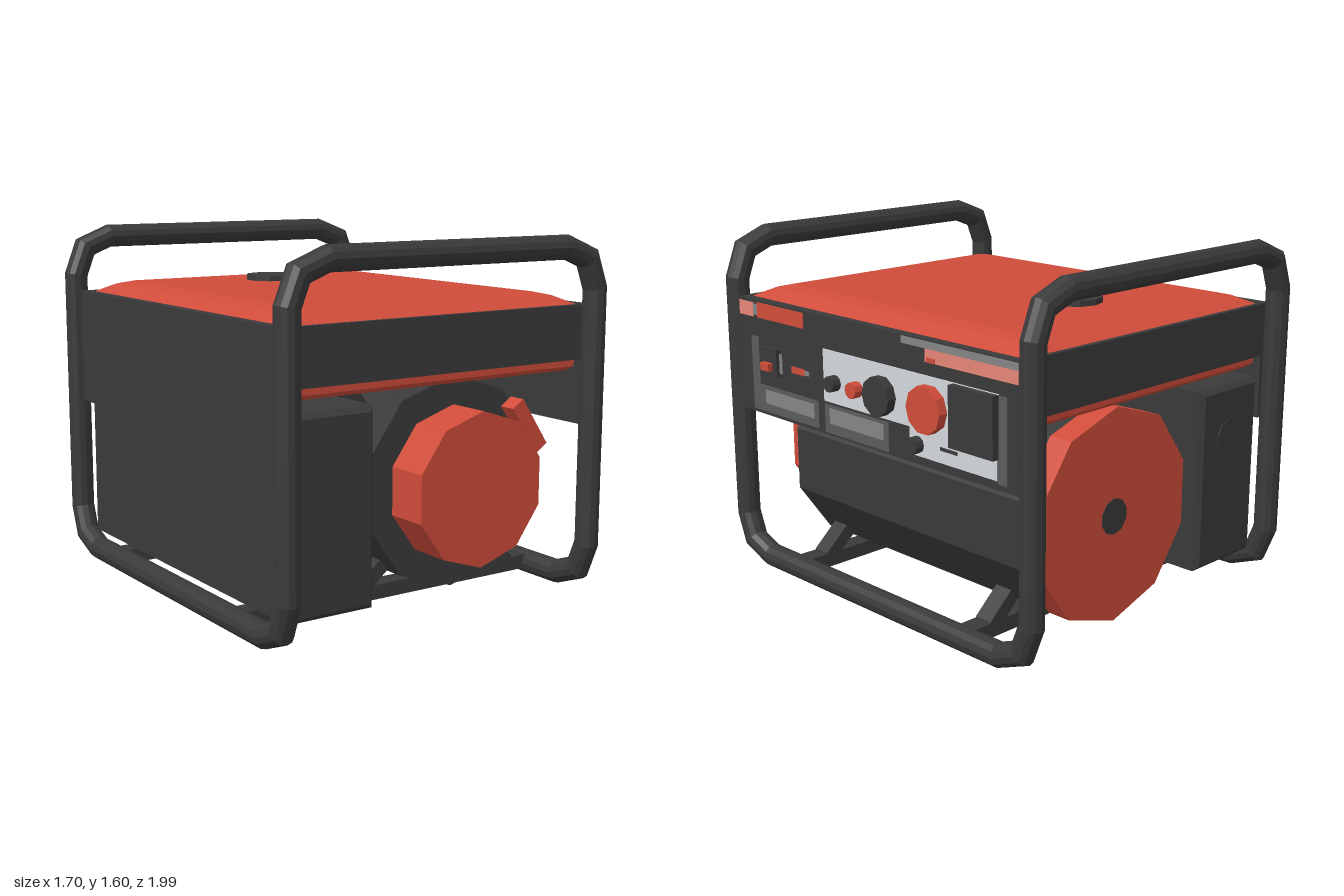
import * as THREE from 'three';

const mat = (name, color) => {
  const m = new THREE.MeshStandardMaterial({ color });
  m.name = name;
  return m;
};

// Skin a list of equal-length point rings with flat quads
function loft(rings, capped) {
  const pos = [];
  const tri = (...pts) => pts.forEach((p) => pos.push(p.x, p.y, p.z));
  const n = rings[0].length;
  for (let i = 0; i < rings.length - 1; i++)
    for (let j = 0; j < n; j++) {
      const k = (j + 1) % n, a = rings[i], b = rings[i + 1];
      tri(a[j], a[k], b[k]);
      tri(a[j], b[k], b[j]);
    }
  if (capped) {
    const a = rings[0], b = rings[rings.length - 1];
    for (let j = 1; j < n - 1; j++) {
      tri(a[0], a[j + 1], a[j]);
      tri(b[0], b[j], b[j + 1]);
    }
  }
  const g = new THREE.BufferGeometry();
  g.setAttribute('position', new THREE.Float32BufferAttribute(pos, 3));
  g.computeVertexNormals();
  return g;
}

// One closed faceted tube with mitred bends
function frameGeometry() {
  const V = (x, y, z) => new THREE.Vector3(x, y, z);
  const L = -0.798, R = 0.772, T = 1.544, B = 0.053, Z = 0.944, sides = 12;
  const corners = [V(L, T, Z), V(R, T, Z), V(R, B, Z), V(R, B, -Z),
    V(R, T, -Z), V(L, T, -Z), V(L, B, -Z), V(L, B, Z)];
  const pts = [];
  corners.forEach((c, i) => {
    const a = corners[(i + 7) % 8].clone().sub(c).normalize();
    const b = corners[(i + 1) % 8].clone().sub(c).normalize();
    pts.push(c.clone().addScaledVector(a, 0.175),
      c.clone().addScaledVector(a, 0.05).addScaledVector(b, 0.05),
      c.clone().addScaledVector(b, 0.18));
  });
  const n = pts.length;
  const start = pts[n - 1].clone().lerp(pts[0], 0.5);
  let ring = [];
  for (let j = 0; j < sides; j++) {
    const t = j * 2 * Math.PI / sides, r = 0.053;
    ring.push(V(start.x + r * Math.sin(t), start.y, start.z + r * Math.cos(t)));
  }
  const rings = [ring];
  const project = (p, d, normal) => {
    ring = ring.map((q) => q.clone().addScaledVector(d, p.clone().sub(q).dot(normal) / d.dot(normal)));
    rings.push(ring);
  };
  for (let i = 0; i < n; i++) {
    const d = pts[i].clone().sub(pts[(i + n - 1) % n]).normalize();
    const e = pts[(i + 1) % n].clone().sub(pts[i]).normalize();
    project(pts[i], d, d.clone().add(e).normalize());
  }
  project(start, V(0, 1, 0), V(0, 1, 0));
  return loft(rings, false);
}

// Tank shell from inset rectangles with cut corners
function tankGeometry() {
  const levels = [[1.0, 0.03], [1.02, 0.005], [1.285, 0], [1.325, 0.08], [1.34, 0.14]];
  return loft(levels.map(([y, inset]) => {
    const x = 0.75 - inset, z = 0.888 - inset, c = 0.025;
    return [[x - c, z], [x, z - c], [x, -z + c], [x - c, -z],
      [-x + c, -z], [-x, -z + c], [-x, z - c], [-x + c, z]]
      .map(([px, pz]) => new THREE.Vector3(px, y, pz));
  }), true);
}

export function createModel() {
  const model = new THREE.Group();
  model.name = 'portableGenerator';
  const dark = mat('darkGrey', 0x3a3a3a);
  const red = mat('red', 0xd04c3a);
  const light = mat('lightGrey', 0xd4d9de);
  const mid = mat('midGrey', 0x858585);
  const border = mat('borderGrey', 0x5c5c5c);
  const salmon = mat('salmon', 0xf08c7c);

  const add = (name, geo, m, x = 0, y = 0, z = 0) => {
    const mesh = new THREE.Mesh(geo, m);
    mesh.name = name;
    mesh.position.set(x, y, z);
    model.add(mesh);
    return mesh;
  };
  // Box given by its limits
  const box = (name, m, x0, x1, y0, y1, z0, z1) =>
    add(name, new THREE.BoxGeometry(x1 - x0, y1 - y0, z1 - z0), m,
      (x0 + x1) / 2, (y0 + y1) / 2, (z0 + z1) / 2);
  // Decagonal drum along z, one corner up
  const drum = (name, m, r, z0, z1, x = 0.215, y = 0.53) => {
    const g = new THREE.CylinderGeometry(r, r, z1 - z0, 10).toNonIndexed();
    g.rotateX(Math.PI / 2).rotateZ(Math.PI);
    g.computeVertexNormals();
    return add(name, g, m, x, y, (z0 + z1) / 2);
  };
  // Slanted bar in the front plane
  const bar = (name, m, xa, ya, xb, yb, w, z, depth) => {
    const mesh = add(name, new THREE.BoxGeometry(Math.hypot(xb - xa, yb - ya), w, depth), m,
      (xa + xb) / 2, (ya + yb) / 2, z);
    mesh.rotation.z = Math.atan2(yb - ya, xb - xa);
    return mesh;
  };

  // Tubular frame
  add('tubeFrame', frameGeometry(), dark);

  // Fuel tank, cap and surrounding bands
  add('fuelTank', tankGeometry(), red);
  const cap = new THREE.CylinderGeometry(0.125, 0.125, 0.05, 10).toNonIndexed();
  cap.computeVertexNormals();
  add('fuelCap', cap, dark, -0.005, 1.34, -0.44);
  for (const s of [-1, 1]) {
    box('tankBand', dark, -0.75, 0.75, 1.05, 1.29, s * 0.89 - 0.012, s * 0.89 + 0.012);
    box('sidePanel', dark, s * 0.775 - 0.023, s * 0.775 + 0.023, 0.76, 1.29, -0.9, 0.9);
  }

  // Engine and alternator body
  drum('alternatorBody', dark, 0.47, -0.77, 0.68);
  drum('starterCover', red, 0.34, 0.68, 0.88);
  drum('rearCover', red, 0.47, -0.885, -0.77);
  drum('rearHub', dark, 0.08, -0.887, -0.88, 0.222, 0.53);
  bar('pullHandle', red, 0.45, 0.87, 0.592, 0.662, 0.068, 0.793, 0.08);
  bar('handleStem', dark, 0.46, 0.72, 0.51, 0.757, 0.06, 0.793, 0.06);

  // Muffler box with bevelled edges
  const b = 0.022, x0 = -0.757, x1 = -0.35, y0 = 0.115, y1 = 0.95;
  const shape = new THREE.Shape([[x0 + b, y0 + b], [x1 - b, y0 + b],
    [x1 - b, y1 - b], [x0 + b, y1 - b]].map(([x, y]) => new THREE.Vector2(x, y)));
  add('mufflerBox', new THREE.ExtrudeGeometry(shape, {
    depth: 1.78 - 2 * b, bevelEnabled: true, bevelSize: b, bevelThickness: b, bevelSegments: 1,
  }), dark, 0, 0, -0.89 + b);
  drum('exhaustOutlet', dark, 0.085, -0.893, -0.88, -0.55, 0.71);
  box('exhaustPipe', dark, -0.36, -0.2, 0.545, 0.67, 0.24, 0.36);
  bar('tankStrut', dark, -0.27, 1.03, -0.06, 0.74, 0.085, 0.45, 0.09);

  // Cross rails, engine legs and feet
  for (const z of [0.54, -0.552]) {
    box('crossRail', dark, -0.78, 0.755, 0.03, 0.095, z - 0.045, z + 0.045);
    bar('engineLegRight', dark, -0.205, 0.075, 0.05, 0.285, 0.065, z, 0.088);
    bar('engineLegLeft', dark, 0.635, 0.075, 0.4, 0.285, 0.065, z, 0.088);
    box('mufflerFoot', dark, -0.6, -0.52, 0.09, 0.125, z - 0.045, z + 0.045);
  }

  // Control panel: plates lie on the outer face of the left side panel
  const face = 0.798;
  const plate = (name, m, z0, z1, y0, y1, t = 0.004) =>
    box(name, m, face - 0.002, face + t, y0, y1, z0, z1);
  plate('panelBorderFront', border, 0.76, 0.815, 0.775, 1.12, 0.002);
  plate('panelBorderLower', border, 0.33, 0.76, 0.775, 0.9, 0.002);
  plate('panelBorderMiddle', border, -0.14, 0.285, 0.77, 0.9, 0.002);
  plate('panelBorderRear', border, -0.835, -0.785, 0.785, 1.14, 0.002);
  plate('panelInsetFront', mid, 0.36, 0.72, 0.815, 0.88);
  plate('panelInsetMiddle', mid, -0.11, 0.25, 0.815, 0.885);
  plate('socketPlate', light, -0.79, 0.285, 0.912, 1.145);
  plate('socketPlateLower', light, -0.782, -0.275, 0.797, 0.912);
  plate('stripeFront', red, 0.42, 0.76, 1.21, 1.28);
  plate('stripeFrontEnd', salmon, 0.79, 0.895, 1.21, 1.275);
  plate('stripeFrontEdge', mid, 0.76, 0.79, 1.22, 1.27);
  plate('stripeRearEdge', mid, -0.895, -0.23, 1.255, 1.285);
  plate('stripeRear', salmon, -0.895, -0.375, 1.2, 1.255);
  plate('stripeRearTip', red, -0.435, -0.385, 1.2, 1.22, 0.006);
  plate('switchSurround', mid, 0.587, 0.75, 0.975, 1.065);
  plate('switchBody', dark, 0.605, 0.73, 0.96, 1.085, 0.02);
  plate('switchRocker', red, 0.635, 0.695, 0.985, 1.02, 0.045);
  plate('indicatorMark', red, 0.42, 0.515, 0.995, 1.025);
  plate('indicatorDot', mid, 0.39, 0.42, 1.0, 1.02);
  plate('knobMark', mid, -0.31, -0.27, 1.0, 1.02, 0.006);
  plate('breakerCover', dark, -0.79, -0.54, 0.885, 1.142, 0.034);
  plate('smallLabel', dark, -0.56, -0.46, 0.85, 0.865, 0.006);

  const knobs = [[0.2, 1.007, 0.035, dark], [0.052, 1.007, 0.035, red], [-0.11, 1.012, 0.085, dark],
    [-0.403, 1.012, 0.101, red], [-0.327, 0.847, 0.036, dark]];
  for (const [z, y, r, m] of knobs) {
    const g = new THREE.CylinderGeometry(r, r, 0.05, 10).toNonIndexed();
    g.rotateZ(-Math.PI / 2);
    g.computeVertexNormals();
    add('panelKnob', g, m, face + 0.022, y, z);
  }
  return model;
}
